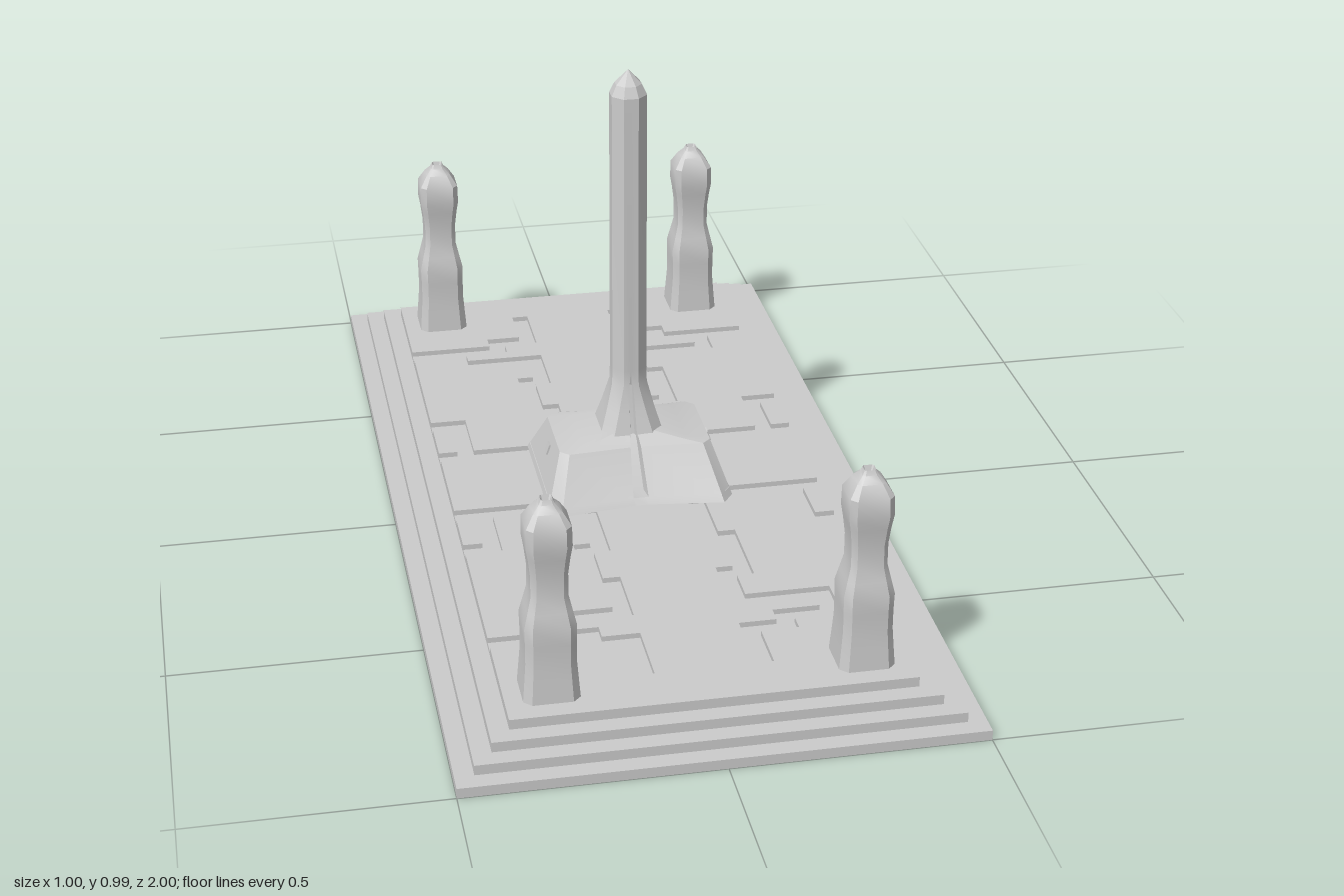
import * as THREE from 'three';
import { toCreasedNormals } from 'three/addons/utils/BufferGeometryUtils.js';

const material = new THREE.MeshStandardMaterial({ color: 0xcccccc, side: THREE.DoubleSide });

function meshOf(name, positions, crease = 0.3) {
  const geo = new THREE.BufferGeometry();
  geo.setAttribute('position', new THREE.Float32BufferAttribute(positions, 3));
  const mesh = new THREE.Mesh(toCreasedNormals(geo, crease), material);
  mesh.name = name;
  return mesh;
}

// Mirrors one quarter of a cross-section (from +x round to +z) into a full ring
function ring(y, quarter) {
  const flip = [...quarter].reverse();
  return [
    ...quarter.map(([x, z]) => [x, y, z]),
    ...flip.map(([x, z]) => [-x, y, z]),
    ...quarter.map(([x, z]) => [-x, y, -z]),
    ...flip.map(([x, z]) => [x, y, -z]),
  ];
}

// Skins a stack of rings and closes the top
function loft(name, rings, crease) {
  const pos = [];
  const n = rings[0].length;
  for (let k = 0; k < rings.length - 1; k++) {
    const a = rings[k], b = rings[k + 1];
    for (let i = 0; i < n; i++) {
      const j = (i + 1) % n;
      pos.push(...a[i], ...b[i], ...b[j], ...a[i], ...b[j], ...a[j]);
    }
  }
  const top = rings[rings.length - 1];
  const centre = [0, top[0][1], 0];
  for (let i = 0; i < n; i++) pos.push(...centre, ...top[(i + 1) % n], ...top[i]);
  return meshOf(name, pos, crease);
}

// Channel centre lines for one quarter of the top step
const channels = [
  [[0.42, 0.627], [0.285, 0.627], [0.285, 0.56], [0.115, 0.56], [0.115, 0.45],
    [0.15, 0.45], [0.15, 0.31], [0.115, 0.31], [0.115, 0.17]],
  [[0.285, 0.627], [0.19, 0.627], [0.19, 0.662], [0.115, 0.662], [0.115, 0.77]],
  [[0.42, 0.27], [0.33, 0.27], [0.33, 0.127]],
  [[0.42, 0.127], [0.17, 0.127]],
];

// Top step: a stepped height field with the channels sunk into it
function channelledStep(hx, hz, low, floor, high) {
  const w = 0.018;
  const rects = channels.flatMap((path) => path.slice(1).map((p, i) => [
    Math.min(p[0], path[i][0]) - w, Math.max(p[0], path[i][0]) + w,
    Math.min(p[1], path[i][1]) - w, Math.max(p[1], path[i][1]) + w,
  ]));
  const cuts = (values, limit) => {
    const list = [...values.filter((v) => v < limit), limit].flatMap((v) => [v, -v]);
    return [...new Set(list.map((v) => +v.toFixed(4)))].sort((a, b) => a - b);
  };
  const xs = cuts(rects.flatMap((r) => [r[0], r[1]]), hx);
  const zs = cuts(rects.flatMap((r) => [r[2], r[3]]), hz);
  const height = (i, j) => {
    if (i < 0 || j < 0 || i > xs.length - 2 || j > zs.length - 2) return low;
    const x = Math.abs(xs[i] + xs[i + 1]) / 2, z = Math.abs(zs[j] + zs[j + 1]) / 2;
    return rects.some((r) => x > r[0] && x < r[1] && z > r[2] && z < r[3]) ? floor : high;
  };
  const pos = [];
  const quad = (a, b, c, d) => pos.push(...a, ...b, ...c, ...a, ...c, ...d);
  for (let i = -1; i < xs.length; i++) {
    for (let j = -1; j < zs.length; j++) {
      const h = height(i, j), hX = height(i + 1, j), hZ = height(i, j + 1);
      const [x0, x1, z0, z1] = [xs[i], xs[i + 1], zs[j], zs[j + 1]];
      if (h > low) quad([x0, h, z0], [x0, h, z1], [x1, h, z1], [x1, h, z0]);
      if (h !== hX) quad([x1, hX, z0], [x1, h, z0], [x1, h, z1], [x1, hX, z1]);
      if (h !== hZ) quad([x0, hZ, z1], [x1, hZ, z1], [x1, h, z1], [x0, h, z1]);
    }
  }
  return meshOf('channelledTopStep', pos);
}

export function createModel() {
  const model = new THREE.Group();
  const stepH = 0.0205;

  // Lower steps
  [[0.5, 1], [0.463, 0.964], [0.426, 0.928]].forEach(([x, z], i) => {
    const step = new THREE.Mesh(new THREE.BoxGeometry(x * 2, stepH, z * 2), material);
    step.position.y = stepH * (i + 0.5);
    step.name = `step${i + 1}`;
    model.add(step);
  });
  model.add(channelledStep(0.388, 0.892, stepH * 3, 0.071, stepH * 4));

  // Pedestal: chamfered corners, front and back pinched in and split by a slit
  // y, side x, side z, corner x, corner z, middle z, slit half width, slit depth
  const pedestal = [
    [0.082, 0.195, 0.145, 0.172, 0.177, 0.157, 0.014, 0],
    [0.095, 0.191, 0.137, 0.168, 0.167, 0.148, 0.016, 0],
    [0.096, 0.190, 0.136, 0.168, 0.166, 0.147, 0.016, 0.03],
    [0.183, 0.160, 0.080, 0.142, 0.097, 0.088, 0.011, 0.03],
    [0.190, 0.110, 0.068, 0.100, 0.080, 0.076, 0.010, 0.025],
    [0.203, 0.060, 0.045, 0.045, 0.060, 0.060, 0.008, 0.02],
  ];
  model.add(loft('pedestal', pedestal.map(([y, sx, sz, cx, cz, mz, s, d]) =>
    ring(y, [[sx, sz], [cx, cz], [s, mz], [s * 0.7, mz - d]]))));

  // Small niche blocks on the pedestal sides
  for (const side of [-1, 1]) {
    const niche = new THREE.Mesh(new THREE.BoxGeometry(0.012, 0.022, 0.02), material);
    niche.position.set(side * 0.169, 0.15, 0);
    niche.rotation.z = side * 0.33;
    niche.name = 'nicheBlock';
    model.add(niche);
  }

  // Obelisk: flared foot, eight-sided shaft and pointed tip
  // y, half width, half flat, slit half width, slit depth
  const obelisk = [
    [0.195, 0.066, 0.042, 0.007, 0.015],
    [0.245, 0.051, 0.029, 0.006, 0.013],
    [0.300, 0.037, 0.016, 0.004, 0.008],
    [0.335, 0.036, 0.015, 0.001, 0],
    [0.940, 0.036, 0.015, 0.001, 0],
    [0.962, 0.026, 0.011, 0.001, 0],
    [0.990, 0.001, 0.0005, 0.0001, 0],
  ];
  model.add(loft('obelisk', obelisk.map(([y, r, f, s, d]) =>
    ring(y, [[r, f], [f, r], [s, r], [s * 0.6, r - d]]))));

  // Corner posts with a waist and a dimpled crown
  const post = [
    [0.082, 0.054], [0.12, 0.051], [0.16, 0.048], [0.2, 0.048], [0.235, 0.049], [0.265, 0.042],
    [0.295, 0.035], [0.34, 0.035], [0.375, 0.039], [0.4, 0.043], [0.44, 0.042],
    [0.465, 0.027], [0.478, 0.015], [0.487, 0.011], [0.476, 0.007],
  ];
  for (const x of [-0.3, 0.3]) {
    for (const z of [-0.8, 0.8]) {
      const mesh = loft('cornerPost', post.map(([y, r]) =>
        ring(y, [[r, r * 0.72], [r * 0.72, r]])), 0.6);
      mesh.position.set(x, 0, z);
      model.add(mesh);
    }
  }
  return model;
}
